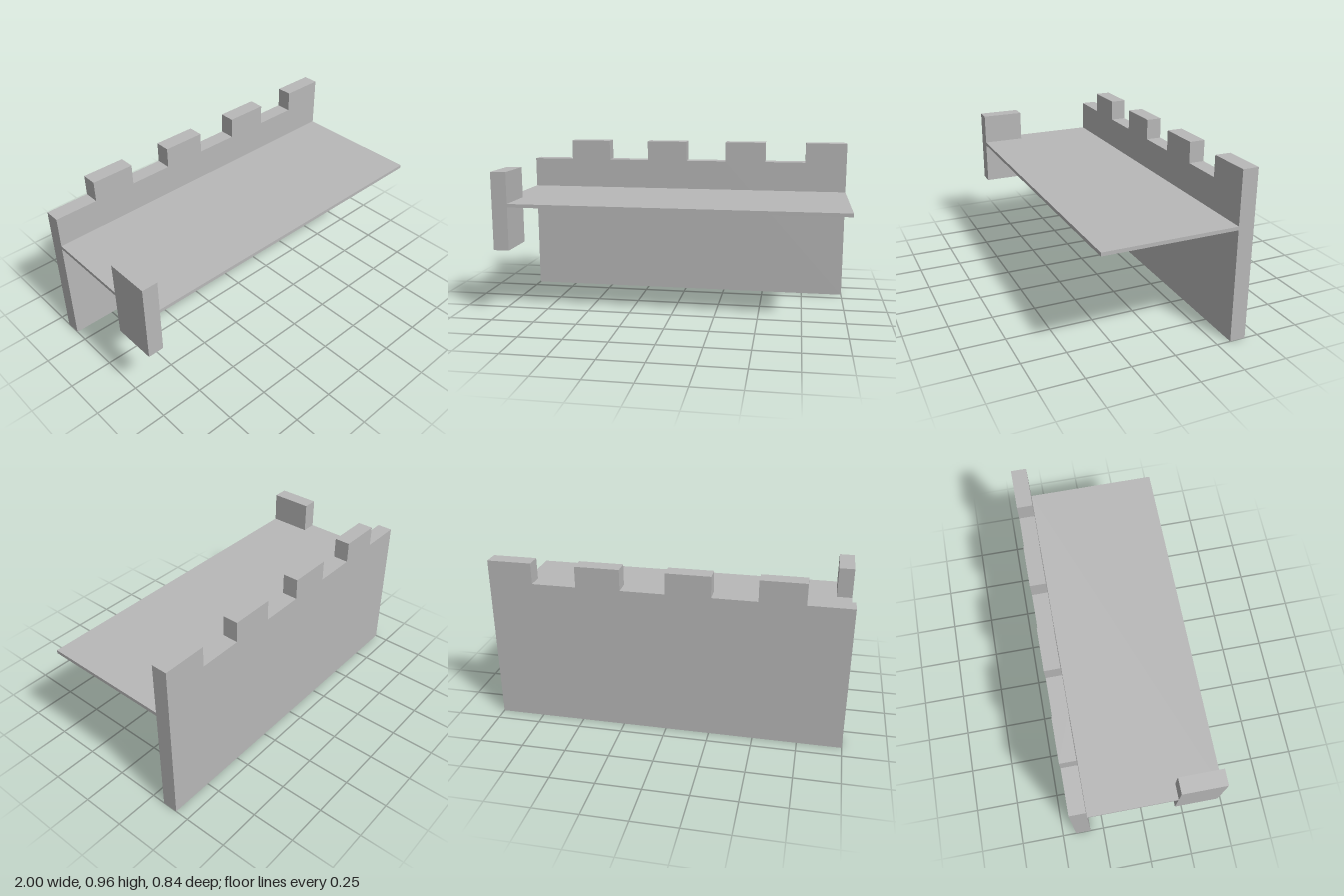
import * as THREE from 'three';

export function createModel() {
  const group = new THREE.Group();
  const stone = new THREE.MeshStandardMaterial({ color: 0xb8b8b8 });
  stone.name = 'stone grey';

  // Box given by its lower and upper corners
  const addBox = (name, [x0, y0, z0], [x1, y1, z1]) => {
    const mesh = new THREE.Mesh(new THREE.BoxGeometry(x1 - x0, y1 - y0, z1 - z0), stone);
    mesh.position.set((x0 + x1) / 2, (y0 + y1) / 2, (z0 + z1) / 2);
    mesh.name = name;
    group.add(mesh);
  };

  // Battlement wall: one outline with alternating notches and merlons
  const back = -0.42, wallFront = -0.33, notchY = 0.84, merlonY = 0.96;
  const outline = new THREE.Shape();
  outline.moveTo(-1, 0);
  outline.lineTo(1, 0);
  for (let i = 0; i < 4; i++) {
    const x = 1 - i * 0.5;
    outline.lineTo(x, merlonY);
    outline.lineTo(x - 0.25, merlonY);
    outline.lineTo(x - 0.25, notchY);
    outline.lineTo(x - 0.5, notchY);
  }
  outline.closePath();
  const wall = new THREE.Mesh(
    new THREE.ExtrudeGeometry(outline, { depth: wallFront - back, bevelEnabled: false }), stone);
  wall.position.z = back;
  wall.name = 'battlementWall';
  group.add(wall);

  // Thin walkway in front of the wall
  addBox('walkway', [-1, 0.64, wallFront], [1, 0.66, 0.42]);

  // Short block at the outer corner of the walkway
  addBox('cornerBlock', [-1, 0.39, 0.17], [-0.91, 0.84, 0.42]);

  return group;
}
